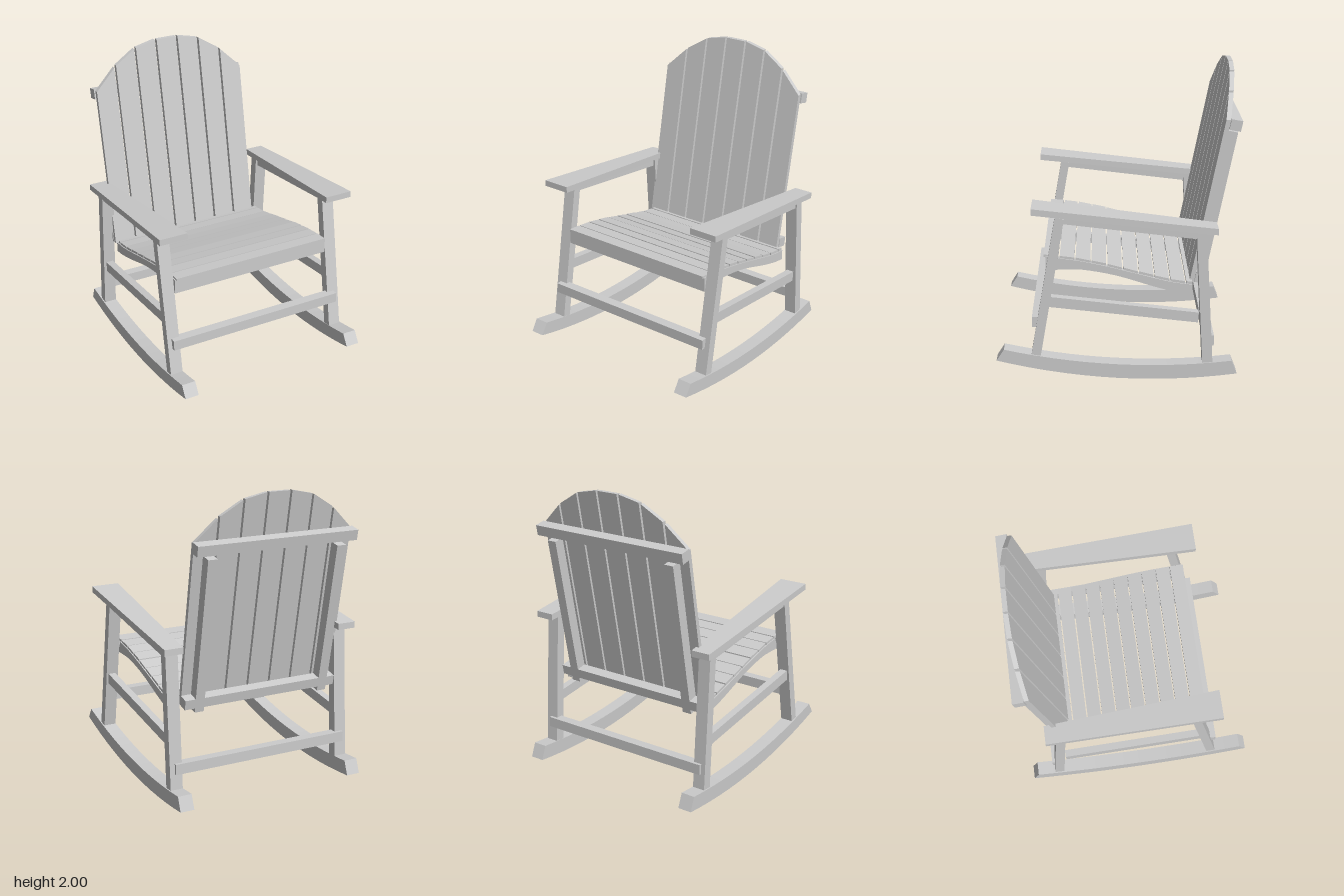
import * as THREE from 'three';

export function createModel() {
  const chair = new THREE.Group();
  chair.name = 'rockingChair';
  const paint = new THREE.MeshStandardMaterial({ color: 0xcccccc });
  paint.name = 'paleGrey';

  const add = (name, geometry) => {
    const mesh = new THREE.Mesh(geometry, paint);
    mesh.name = name;
    chair.add(mesh);
    return mesh;
  };
  const extrude = (points, depth) => new THREE.ExtrudeGeometry(
    new THREE.Shape(points.map(([a, b]) => new THREE.Vector2(a, b))),
    { depth, bevelEnabled: false });

  // Side profile given as [z, y], running from x0 to x1
  const prism = (name, points, x0, x1) =>
    add(name, extrude(points, x1 - x0).rotateY(-Math.PI / 2).translate(x1, 0, 0));
  // The same part on both sides
  const pair = (name, points, x0, x1) => {
    prism('left' + name, points, x0, x1);
    prism('right' + name, points, -x1, -x0);
  };
  const bar = (name, x0, x1, y0, y1, z0, z1) =>
    prism(name, [[z0, y0], [z1, y0], [z1, y1], [z0, y1]], x0, x1);

  // Curved rockers
  const rocker = [];
  const N = 14;
  for (let i = 0; i <= N; i++) {
    const z = -0.787 + (1.577 * i) / N;
    rocker.push([z, 0.127 * (z + 0.26) ** 2]);
  }
  for (let i = N; i >= 0; i--) {
    const z = -0.75 + (1.49 * i) / N;
    rocker.push([z, 0.1 + 0.118 * (z + 0.26) ** 2]);
  }
  pair('Rocker', rocker, 0.573, 0.668);

  // Legs, side stretchers and rails under the arms
  pair('FrontLeg', [[0.5, 0.17], [0.562, 0.17], [0.393, 1.125], [0.335, 1.115]], 0.575, 0.66);
  pair('BackLeg', [[-0.627, 0.1], [-0.56, 0.1], [-0.502, 1.04], [-0.567, 1.03]], 0.575, 0.66);
  pair('SideStretcher', [[-0.525, 0.395], [0.44, 0.51], [0.43, 0.58], [-0.53, 0.465]], 0.595, 0.645);
  pair('ArmRail', [[-0.51, 0.975], [0.345, 1.08], [0.34, 1.14], [-0.51, 1.04]], 0.59, 0.65);

  // Front and back stretchers
  bar('frontStretcher', -0.63, 0.625, 0.36, 0.43, 0.49, 0.555);
  bar('backStretcher', -0.63, 0.625, 0.22, 0.29, -0.635, -0.57);

  // Tapered arms, sloping down to the back
  for (const s of [1, -1]) {
    const plan = [[0.512, -0.54], [0.705, -0.54], [0.695, 0.637], [0.567, 0.637]];
    const g = extrude(plan.map(([x, y]) => [s * x, y]), 0.042).rotateX(-Math.PI / 2);
    const p = g.attributes.position;
    for (let i = 0; i < p.count; i++) p.setY(i, p.getY(i) + 1.093 + 0.119 * p.getZ(i));
    g.computeVertexNormals();
    add(s > 0 ? 'leftArm' : 'rightArm', g);
  }

  // Seat rails follow the seat curve
  const seatCurve = new THREE.SplineCurve([
    [-0.49, 0.63], [-0.35, 0.65], [-0.14, 0.705], [0.06, 0.758], [0.27, 0.803], [0.47, 0.825],
  ].map(([z, y]) => new THREE.Vector2(z, y)));
  const top = seatCurve.getPoints(20).filter((v) => v.x < 0.43).map((v) => [v.x, v.y]);
  const under = new THREE.SplineCurve([
    [0.42, 0.738], [0.3, 0.74], [0.2, 0.735], [0, 0.695], [-0.25, 0.615], [-0.4, 0.575], [-0.49, 0.56],
  ].map(([z, y]) => new THREE.Vector2(z, y))).getPoints(20).map((v) => [v.x, v.y]);
  pair('SeatRail', [...top, ...under], 0.535, 0.57);
  bar('frontApron', -0.57, 0.57, 0.73, 0.828, 0.42, 0.462);

  // Seat slats
  const seatY = (z) => {
    const pts = seatCurve.getPoints(60);
    return pts.reduce((a, b) => (Math.abs(b.x - z) < Math.abs(a.x - z) ? b : a)).y;
  };
  for (let i = 0; i < 10; i++) {
    const z1 = 0.472 - i * 0.1025;
    const z0 = i < 9 ? z1 - 0.094 : -0.49;
    const y1 = seatY(z1), y0 = seatY(z0);
    prism('seatSlat', [[z0, y0], [z1, y1], [z1, y1 + 0.017], [z0, y0 + 0.017]], -0.563, 0.563);
  }

  // Leaning back: z of the slat front at height y
  const lean = (y) => -0.475 - 0.191 * (y - 0.64);
  const center = -0.029;

  // Back slats with an arched top
  const arch = [[1.72, 1.86], [1.872, 1.962], [1.968, 2], [2, 2], [2, 1.968], [1.962, 1.872], [1.86, 1.72]];
  arch.forEach(([yl, yr], i) => {
    const x = center + (i - 3) * 0.161;
    const w = 0.0735;
    const g = extrude([[x - w, 0.635], [x + w, 0.635], [x + w, yr], [x - w, yl]], 0.03);
    const p = g.attributes.position;
    for (let k = 0; k < p.count; k++) p.setZ(k, p.getZ(k) - 0.03 + lean(p.getY(k)));
    g.computeVertexNormals();
    add('backSlat', g);
  });

  // Uprights and crossbars behind the back slats
  const behind = (name, y0, y1, depth, x0, x1) => {
    const a = lean(y0) - 0.031, b = lean(y1) - 0.031;
    prism(name, [[a, y0], [a - depth, y0 - 0.014], [b - depth, y1 - 0.014], [b, y1]], x0, x1);
  };
  for (const s of [-1, 1]) {
    const x = center + s * 0.457;
    behind('backUpright', 0.605, 1.635, 0.07, x - 0.032, x + 0.032);
  }
  behind('upperCrossbar', 1.66, 1.728, 0.072, -0.595, 0.537);
  behind('lowerCrossbar', 0.635, 0.7, 0.07, -0.588, 0.532);

  return chair;
}
